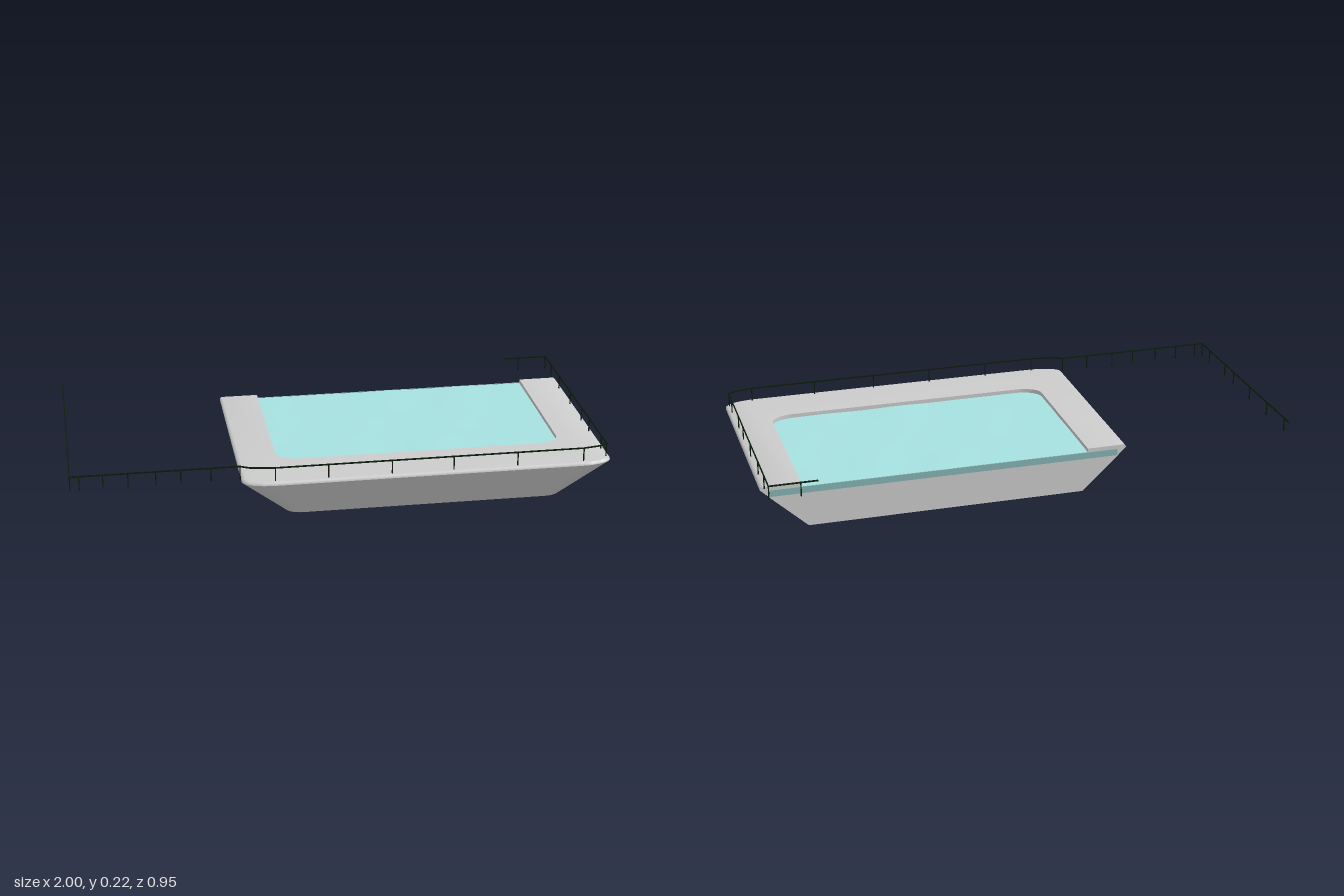
import * as THREE from 'three';
import { toCreasedNormals } from 'three/addons/utils/BufferGeometryUtils.js';

const CX = 0.31;      // middle of the pool in x
const BACK = -0.37;   // flat rear side

// Open outline: back -x corner, round the front, to the back +x corner
function outline(hw, front, rx, rz, back) {
  const half = [[hw, back]];
  for (let i = 0; i <= 8; i++) {
    const a = (i / 8) * Math.PI / 2;
    half.push([hw - rx + rx * Math.cos(a), front - rz + rz * Math.sin(a)]);
  }
  const right = half.map(([x, z]) => [CX + x, z]);
  const left = half.map(([x, z]) => [CX - x, z]);
  return [...left, ...right.reverse()];
}

// Outline of the sloping hull at height y
function hullOutline(y, back, inset = 0) {
  const t = Math.min(y / 0.158, 1);
  return outline(0.52 + 0.17 * t - inset, 0.38 + 0.092 * t - inset, 0.06 + 0.06 * t, 0.04 + 0.01 * t, back);
}

// Solid through a stack of { y, pts } sections, capped at both ends
function loft(levels) {
  const pos = [];
  const n = levels[0].pts.length;
  const put = (l, i) => pos.push(l.pts[i][0], l.y, l.pts[i][1]);
  for (let k = 0; k < levels.length - 1; k++) {
    const lo = levels[k], hi = levels[k + 1];
    for (let i = 0; i < n; i++) {
      const j = (i + 1) % n;
      put(lo, i); put(lo, j); put(hi, j);
      put(lo, i); put(hi, j); put(hi, i);
    }
  }
  const cap = (l, up) => {
    const flat = l.pts.map(([x, z]) => new THREE.Vector2(x, -z));
    for (const [a, b, c] of THREE.ShapeUtils.triangulateShape(flat, [])) {
      for (const i of up ? [a, b, c] : [a, c, b]) put(l, i);
    }
  };
  cap(levels[0], false);
  cap(levels[levels.length - 1], true);
  const g = new THREE.BufferGeometry();
  g.setAttribute('position', new THREE.Float32BufferAttribute(pos, 3));
  return toCreasedNormals(g, 0.6);
}

export function createModel() {
  const model = new THREE.Group();
  const grey = new THREE.MeshStandardMaterial({ color: 0xcccccc });
  const aqua = new THREE.MeshStandardMaterial({ color: 0xa6e0e0, side: THREE.DoubleSide });
  const glass = new THREE.MeshStandardMaterial({ color: 0x86b4b4 });
  const dark = new THREE.MeshStandardMaterial({ color: 0x0c1c0c });
  const add = (parent, name, geo, mat) => {
    const m = new THREE.Mesh(geo, mat);
    m.name = name;
    parent.add(m);
    return m;
  };

  // Tapered hull under the pool
  add(model, 'hull', loft([0, 0.13].map(y => ({ y, pts: hullOutline(y, BACK) }))), grey);

  // U-shaped deck with a softly rounded outer lip
  const deckBack = -0.366;
  const inner = outline(0.54, 0.27, 0.09, 0.06, deckBack).reverse();
  const lip = [[0.13, 0], [0.158, 0], [0.163, 0.001], [0.167, 0.004], [0.169, 0.009]];
  add(model, 'deck', loft(lip.map(([y, inset]) => ({
    y, pts: [...hullOutline(y, deckBack, inset), ...inner],
  }))), grey);

  // Water with slight ripples
  const water = new THREE.PlaneGeometry(1.08, 0.638, 48, 30);
  water.rotateX(-Math.PI / 2);
  water.translate(CX, 0.154, -0.049);
  const p = water.attributes.position;
  for (let i = 0; i < p.count; i++) {
    const x = p.getX(i), z = p.getZ(i);
    p.setY(i, 0.154 + 0.0006 * (Math.sin(17 * x + 9 * z) + Math.sin(13 * z - 24 * x + 2 * Math.sin(11 * z))));
  }
  water.computeVertexNormals();
  add(model, 'water', water, aqua);

  // Glass strip along the overflow edge
  add(model, 'glassEdge', new THREE.BoxGeometry(1.31, 0.025, 0.004), glass).position.set(CX, 0.1425, -0.368);

  // Railing: thin bars along a path, posts below
  const railing = new THREE.Group();
  railing.name = 'railing';
  model.add(railing);
  const path = [
    [-0.998, -0.46], [-0.998, 0.42], [-0.385, 0.42], [-0.35, 0.44], [-0.27, 0.452],
    [0.89, 0.452], [0.955, 0.44], [0.985, 0.42], [0.985, -0.473], [0.81, -0.473],
  ];
  for (let i = 0; i < path.length - 1; i++) {
    const [x0, z0] = path[i], [x1, z1] = path[i + 1];
    const len = Math.hypot(x1 - x0, z1 - z0);
    const bar = add(railing, 'handrail', new THREE.BoxGeometry(0.004, 0.005, len + 0.004), dark);
    bar.position.set((x0 + x1) / 2, 0.2205, (z0 + z1) / 2);
    bar.rotation.y = Math.atan2(x1 - x0, z1 - z0);
  }
  const posts = [
    ...[0.42, 0.335, 0.172, 0.08, -0.083, -0.25, -0.413].map(z => [-0.998, z]),
    ...[-0.965, -0.88, -0.79, -0.69, -0.6, -0.49, -0.385].map(x => [x, 0.42]),
    ...[-0.26, -0.065, 0.17, 0.4, 0.64, 0.89].map(x => [x, 0.452]),
    ...[0.42, 0.352, 0.188, 0.08, -0.083, -0.25, -0.375, -0.473].map(z => [0.985, z]),
    [0.87, -0.473],
  ];
  const postGeo = new THREE.BoxGeometry(0.004, 0.052, 0.004);
  for (const [x, z] of posts) add(railing, 'railPost', postGeo, dark).position.set(x, 0.194, z);

  return model;
}
